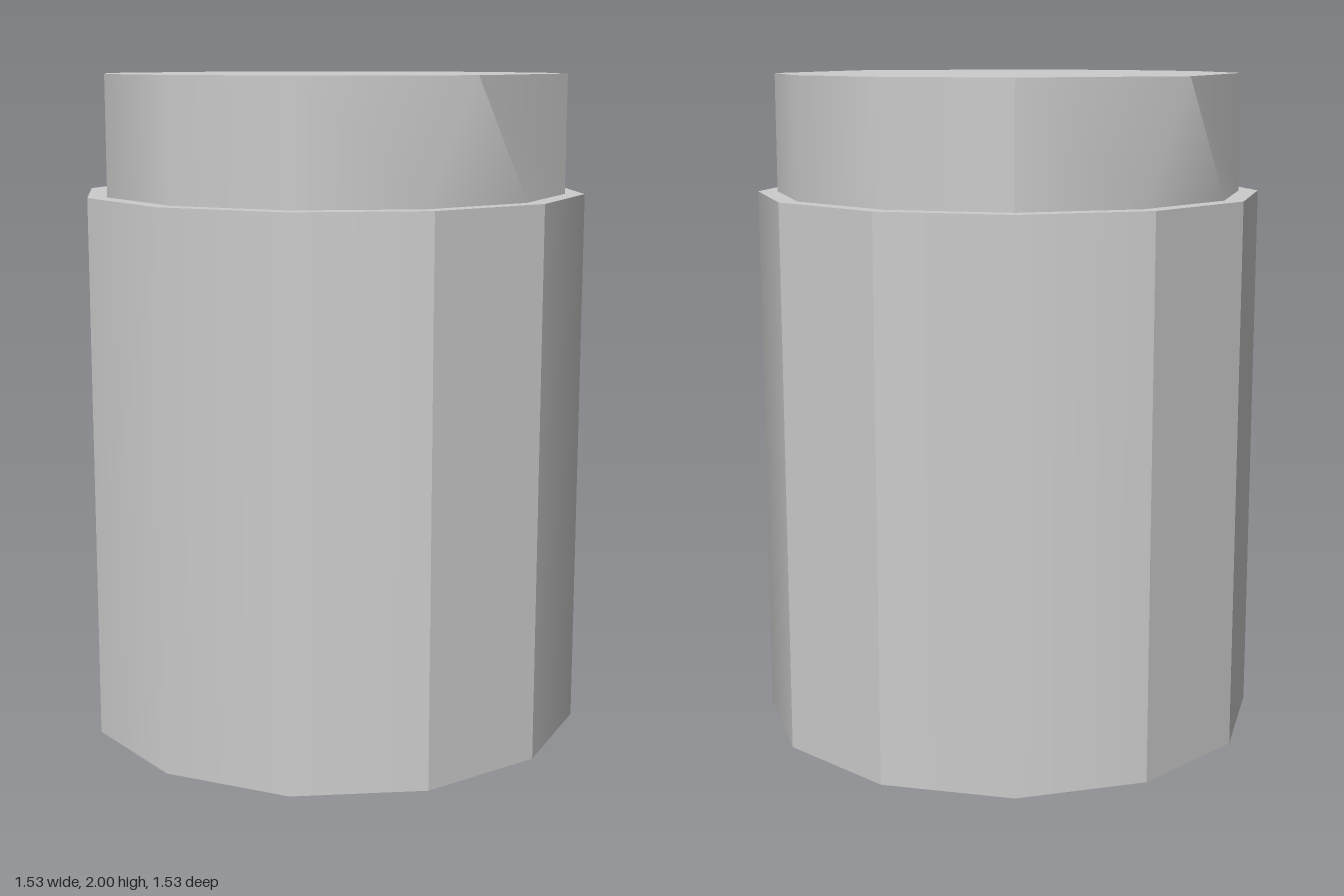
import * as THREE from 'three';

const SIDES = 12;

// Point on a ring; the angle runs from the front (+z) towards +x
function ringPoint(degrees, radius, y) {
  const a = THREE.MathUtils.degToRad(degrees);
  return new THREE.Vector3(Math.sin(a) * radius, y, Math.cos(a) * radius);
}

function ring(radius, y) {
  return Array.from({ length: SIDES }, (_, i) => ringPoint(i * 30, radius, y));
}

// Closed drum between two rings; wall corners listed in sharp keep a hard edge
function drumGeometry(bottom, top, sharp, withBase) {
  const positions = [], normals = [];
  const add = (point, normal) => {
    positions.push(point.x, point.y, point.z);
    normals.push(normal.x, normal.y, normal.z);
  };
  const next = (i) => (i + 1) % SIDES;
  const facets = bottom.map((p, i) => {
    const rising = top[next(i)].clone().sub(p);
    const falling = top[i].clone().sub(bottom[next(i)]);
    return rising.cross(falling).normalize();
  });
  const cornerNormal = (facet, corner) => {
    if (sharp.includes(corner * 30)) return facets[facet];
    const before = facets[(corner + SIDES - 1) % SIDES];
    return before.clone().add(facets[corner]).normalize();
  };
  const up = new THREE.Vector3(0, 1, 0), down = new THREE.Vector3(0, -1, 0);
  const topCentre = new THREE.Vector3(0, top[0].y, 0);
  const baseCentre = new THREE.Vector3(0, bottom[0].y, 0);

  for (let i = 0; i < SIDES; i++) {
    const j = next(i);
    const n0 = cornerNormal(i, i), n1 = cornerNormal(i, j);
    // Wall
    add(bottom[i], n0); add(bottom[j], n1); add(top[i], n0);
    if (top[i] !== top[j]) {
      add(bottom[j], n1); add(top[j], n1); add(top[i], n0);
      }
    // Flat ends
    if (top[i] !== top[j]) {
      add(topCentre, up); add(top[i], up); add(top[j], up);
    }
    if (withBase) {
      add(baseCentre, down); add(bottom[j], down); add(bottom[i], down);
    }
  }
  const geometry = new THREE.BufferGeometry();
  geometry.setAttribute('position', new THREE.Float32BufferAttribute(positions, 3));
  geometry.setAttribute('normal', new THREE.Float32BufferAttribute(normals, 3));
  return geometry;
}

export function createModel() {
  const group = new THREE.Group();
  const grey = new THREE.MeshStandardMaterial({ color: 0xcccccc });
  grey.name = 'light grey';

  // Wide twelve-sided jar body
  const bodySharp = [30, 60, 120, 150, 210, 240, 300];
  const body = new THREE.Mesh(
    drumGeometry(ring(0.765, 0), ring(0.765, 1.645), bodySharp, true), grey);
  body.name = 'body';

  // Narrower lid; on two opposite sides a pair of top corners joins into one
  const lidTop = ring(0.706, 2);
  for (const turn of [0, 180]) {
    const joined = ringPoint(42.2 + turn, 0.722, 2);
    lidTop[turn / 30 + 1] = lidTop[turn / 30 + 2] = joined;
  }
  const lid = new THREE.Mesh(
    drumGeometry(ring(0.706, 1.645), lidTop, [0, 90, 180, 270], false), grey);
  lid.name = 'lid';

  group.add(body, lid);
  return group;
}
